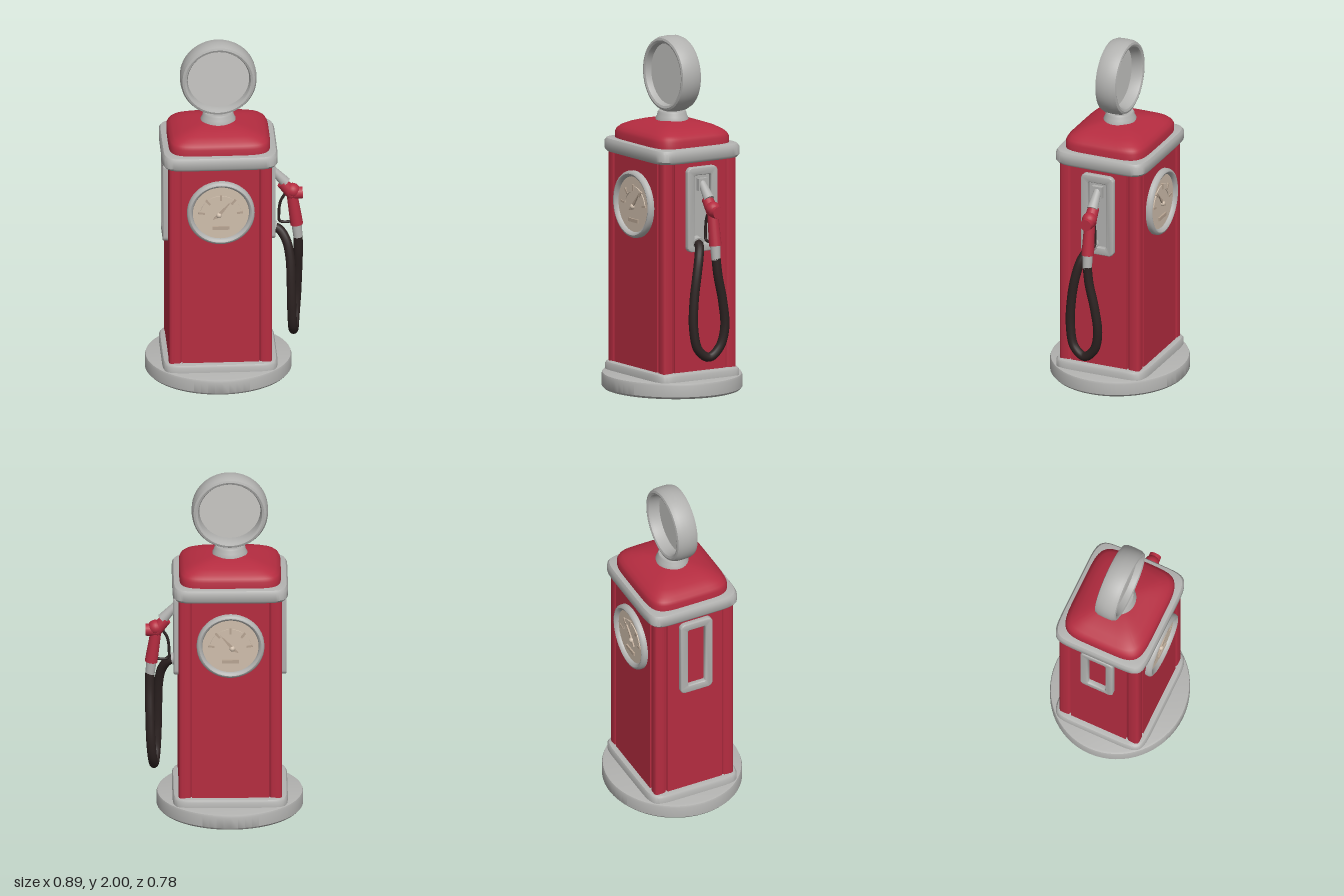
import * as THREE from 'three';
import { toCreasedNormals } from 'three/addons/utils/BufferGeometryUtils.js';

const mat = (name, color, side = THREE.FrontSide) => {
  const m = new THREE.MeshStandardMaterial({ color, side });
  m.name = name;
  return m;
};

// Stacks superellipse sections [halfX, halfZ, y] into a closed, rounded solid
function loft(sections, power, steps = 64) {
  const pos = [], index = [];
  const bend = (v) => Math.sign(v) * Math.pow(Math.abs(v), 2 / power);
  const rows = [[0, 0, sections[0][2]], ...sections, [0, 0, sections[sections.length - 1][2]]];
  rows.forEach(([hx, hz, y], j) => {
    for (let i = 0; i < steps; i++) {
      const t = (i / steps) * Math.PI * 2;
      pos.push(hx * bend(Math.cos(t)), y, hz * bend(Math.sin(t)));
      if (j < rows.length - 1) {
        const a = j * steps + i, d = j * steps + ((i + 1) % steps);
        index.push(a, a + steps, d + steps, a, d + steps, d);
      }
    }
  });
  const g = new THREE.BufferGeometry();
  g.setAttribute('position', new THREE.Float32BufferAttribute(pos, 3));
  g.setIndex(index);
  g.computeVertexNormals();
  return toCreasedNormals(g, 0.7);
}

const lathe = (pts, seg = 48) =>
  toCreasedNormals(new THREE.LatheGeometry(pts.map((p) => new THREE.Vector2(...p)), seg), 0.7);

function roundRect(shape, hx, hy, r) {
  shape.absarc(hx - r, hy - r, r, 0, Math.PI / 2);
  shape.absarc(-hx + r, hy - r, r, Math.PI / 2, Math.PI);
  shape.absarc(-hx + r, -hy + r, r, Math.PI, Math.PI * 1.5);
  shape.absarc(hx - r, -hy + r, r, Math.PI * 1.5, Math.PI * 2);
  shape.closePath();
  return shape;
}

export function createModel() {
  const red = mat('red paint', 0xb52c40);
  const grey = mat('grey metal', 0xb2b2b0);
  const lens = mat('pale lens', 0xc8c7c4);
  const cream = mat('cream dial', 0xcfbeac);
  const tan = mat('tan markings', 0xb8a593);
  const rubber = mat('dark rubber', 0x2c2221);

  const root = new THREE.Group();
  root.name = 'fuelPump';
  const pump = new THREE.Group();
  pump.name = 'cabinet';
  pump.position.x = -0.033;
  root.add(pump);

  const add = (parent, name, geo, material, x = 0, y = 0, z = 0) => {
    const m = new THREE.Mesh(geo, material);
    m.name = name;
    m.position.set(x, y, z);
    parent.add(m);
    return m;
  };
  // Tapered round bar between two points
  const rod = (parent, name, a, b, ra, rb, material) => {
    const A = new THREE.Vector3(...a), B = new THREE.Vector3(...b);
    const m = add(parent, name, new THREE.CylinderGeometry(rb, ra, A.distanceTo(B), 20), material);
    m.position.copy(A).add(B).multiplyScalar(0.5);
    m.quaternion.setFromUnitVectors(new THREE.Vector3(0, 1, 0), B.sub(A).normalize());
    return m;
  };

  // Round base and plinth
  add(pump, 'base', loft([[0.4, 0.378, 0], [0.411, 0.388, 0.012], [0.411, 0.388, 0.075],
    [0.407, 0.384, 0.086], [0.395, 0.372, 0.09]], 2), grey);
  add(pump, 'plinth', loft([[0.323, 0.278, 0.08], [0.323, 0.278, 0.12],
    [0.316, 0.271, 0.132], [0.3, 0.255, 0.137]], 8), grey);

  // Body: core, four raised panels and rounded corner posts
  add(pump, 'bodyCore', new THREE.BoxGeometry(0.55, 1.24, 0.46), red, 0, 0.74, 0);
  for (const s of [-1, 1]) {
    add(pump, 'facePanel', new THREE.BoxGeometry(0.43, 1.24, 0.03), red, 0, 0.74, s * 0.229);
    add(pump, 'sidePanel', new THREE.BoxGeometry(0.03, 1.24, 0.34), red, s * 0.273, 0.74, 0);
    for (const t of [-1, 1])
      add(pump, 'cornerPost', loft([[0.036, 0.036, 0.12], [0.036, 0.036, 1.36]], 3.4, 40),
        red, s * 0.254, 0, t * 0.21);
  }

  // Cornice band and domed roof
  add(pump, 'cornice', loft([[0.295, 0.25, 1.325], [0.313, 0.268, 1.33], [0.324, 0.279, 1.345],
    [0.324, 0.279, 1.39], [0.315, 0.27, 1.405], [0.295, 0.25, 1.41]], 8), grey);
  add(pump, 'roof', loft([[0.285, 0.245, 1.4], [0.285, 0.245, 1.445], [0.277, 0.237, 1.463],
    [0.258, 0.219, 1.48], [0.215, 0.182, 1.5], [0.155, 0.132, 1.517], [0.08, 0.07, 1.529],
    [0.03, 0.03, 1.532]], 5.5), red);

  // Globe on its neck
  add(pump, 'globeNeck', lathe([[0.098, 1.5], [0.098, 1.535], [0.09, 1.547], [0.086, 1.565],
    [0.08, 1.575], [0, 1.575]]), grey).scale.z = 0.92;
  const ring = [[0.204, -0.06], [0.213, -0.04], [0.215, 0], [0.213, 0.04], [0.204, 0.06],
    [0.192, 0.064], [0.18, 0.059], [0.174, 0.045], [0.171, 0], [0.174, -0.045],
    [0.18, -0.059], [0.192, -0.064], [0.204, -0.06]];
  const rim = add(pump, 'globeRim', lathe(ring, 56), grey, 0, 1.785, 0);
  rim.rotation.x = Math.PI / 2;
  const glass = add(pump, 'globeLens', new THREE.CylinderGeometry(0.174, 0.174, 0.02, 48), lens, 0, 1.785, 0.015);
  glass.rotation.x = Math.PI / 2;

  // Dials on the front and back, the back one mirrored
  for (const s of [1, -1]) {
    const dial = new THREE.Group();
    dial.name = s > 0 ? 'frontDial' : 'backDial';
    dial.position.set(0, 1.065, s * 0.243);
    dial.scale.z = s;
    pump.add(dial);
    add(dial, 'dialRim', lathe([[0.19, 0], [0.19, 0.02], [0.184, 0.031], [0.174, 0.035],
      [0.164, 0.03], [0.158, 0.018], [0.157, 0]]), grey).rotation.x = Math.PI / 2;
    add(dial, 'dialFace', new THREE.CylinderGeometry(0.16, 0.16, 0.012, 40), cream, 0, 0, 0.006)
      .rotation.x = Math.PI / 2;
    const arc = new THREE.Shape();
    arc.absarc(0, 0, 0.118, 0.15, Math.PI - 0.15);
    arc.absarc(0, 0, 0.085, Math.PI - 0.15, 0.15, true);
    add(dial, 'scaleArc', new THREE.ExtrudeGeometry(arc, { depth: 0.006, bevelEnabled: false, curveSegments: 24 }),
      cream, 0, -0.015, 0.012);
    for (const a of [0.15, 0.85, 1.57, 2.29, 2.99]) {
      const tick = add(dial, 'tick', new THREE.BoxGeometry(0.035, 0.012, 0.009), tan,
        0.108 * Math.cos(a), 0.108 * Math.sin(a) - 0.015, 0.0165);
      tick.rotation.z = a;
    }
    const needle = new THREE.Shape([[-0.045, -0.04], [-0.01, -0.028], [0.06, 0.07], [-0.022, -0.01]]
      .map((p) => new THREE.Vector2(...p)));
    add(dial, 'needle', new THREE.ExtrudeGeometry(needle, { depth: 0.008, bevelEnabled: false }), tan, 0, 0, 0.012);
    add(dial, 'needleHub', new THREE.SphereGeometry(0.016, 16, 10), cream, -0.01, -0.015, 0.014);
    add(dial, 'counterPlate', new THREE.BoxGeometry(0.095, 0.02, 0.009), tan, 0, -0.092, 0.0165);
  }

  // Side frames
  const frame = roundRect(new THREE.Shape(), 0.094, 0.235, 0.025);
  frame.holes.push(roundRect(new THREE.Path(), 0.06, 0.2, 0.015));
  const frameGeo = toCreasedNormals(new THREE.ExtrudeGeometry(frame, { depth: 0.022, bevelEnabled: true,
    bevelSize: 0.006, bevelThickness: 0.007, bevelSegments: 3, curveSegments: 6 }), 0.7);
  for (const s of [-1, 1])
    add(pump, s > 0 ? 'leftFrame' : 'rightFrame', frameGeo, grey, s * 0.287, 1.06, 0).rotation.y = s * Math.PI / 2;
  add(pump, 'holderPlate', new THREE.BoxGeometry(0.008, 0.42, 0.13), grey, 0.29, 1.06, 0);

  // Nozzle hung on the left side
  const nozzle = new THREE.Group();
  nozzle.name = 'nozzle';
  root.add(nozzle);
  add(nozzle, 'holder', new THREE.BoxGeometry(0.03, 0.07, 0.06), grey, 0.27, 1.2, 0);
  rod(nozzle, 'spout', [0.265, 1.215, 0], [0.345, 1.125, 0], 0.02, 0.031, grey);
  rod(nozzle, 'nozzleHead', [0.325, 1.125, 0], [0.385, 1.055, 0], 0.032, 0.037, red);
  rod(nozzle, 'nozzleCap', [0.37, 1.06, 0], [0.44, 1.06, 0], 0.037, 0.034, red);
  add(nozzle, 'nozzleShoulder', new THREE.SphereGeometry(0.042, 20, 14), red, 0.385, 1.075, 0);
  rod(nozzle, 'grip', [0.38, 1.06, 0], [0.408, 0.868, 0], 0.03, 0.036, red);
  rod(nozzle, 'ferrule', [0.406, 0.875, 0], [0.415, 0.79, 0], 0.029, 0.026, grey);
  const tube = (pts, r, seg) => new THREE.TubeGeometry(
    new THREE.CatmullRomCurve3(pts.map((p) => new THREE.Vector3(...p))), seg, r, 14);
  add(nozzle, 'triggerGuard', tube([[0.345, 1.06, 0], [0.317, 1.01, 0], [0.308, 0.94, 0],
    [0.312, 0.89, 0], [0.35, 0.882, 0], [0.395, 0.89, 0]], 0.008, 40), rubber);

  // Hose loop and its wall fitting
  add(root, 'hose', tube([[0.415, 0.8, 0], [0.417, 0.7, -0.012], [0.415, 0.55, -0.045], [0.41, 0.4, -0.062],
    [0.4, 0.29, -0.035], [0.39, 0.235, 0.03], [0.38, 0.28, 0.095], [0.373, 0.4, 0.122],
    [0.37, 0.56, 0.117], [0.365, 0.7, 0.095], [0.345, 0.8, 0.068], [0.305, 0.858, 0.04],
    [0.25, 0.875, 0.03]], 0.026, 110), rubber);
  rod(root, 'hoseFitting', [0.25, 0.876, 0.03], [0.29, 0.868, 0.035], 0.034, 0.034, grey);

  return root;
}
